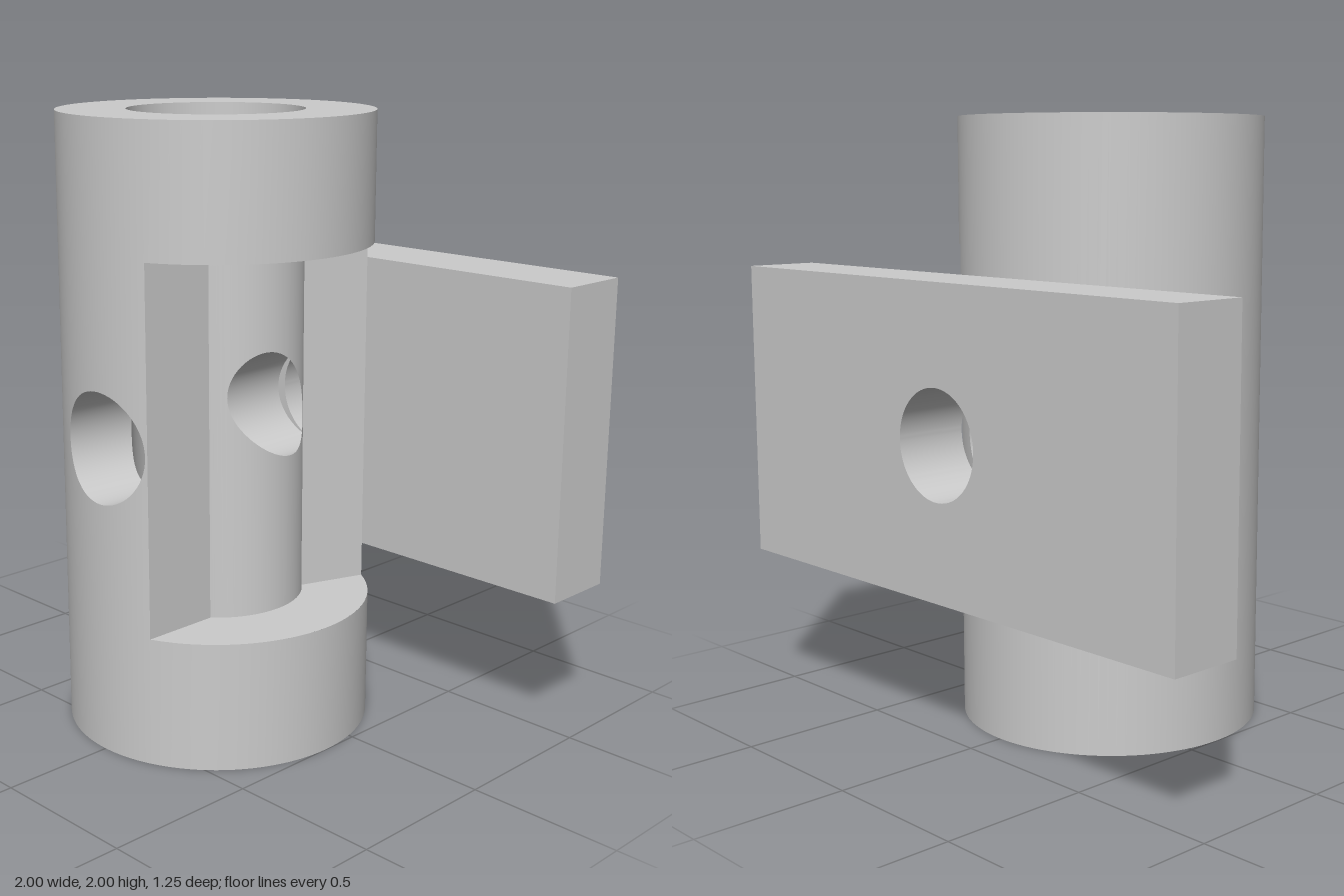
import * as THREE from 'three';
import { mergeGeometries, toCreasedNormals } from 'three/addons/utils/BufferGeometryUtils.js';

const R = 0.5, BORE = 0.28, HOLE = 0.178, HEIGHT = 2, MID = 1;
const WINDOW_LOW = 0.42, WINDOW_HIGH = 1.59;
const TAU = Math.PI * 2;

// Ruled surface between edge(u, 0) and edge(u, 1), with u running 0..1
function ruled(steps, edge, flip = false) {
  const pos = [], index = [];
  for (let i = 0; i <= steps; i++) pos.push(...edge(i / steps, 0), ...edge(i / steps, 1));
  for (let i = 0; i < steps; i++) {
    const a = 2 * i, b = a + 1, c = a + 2, d = a + 3;
    index.push(...(flip ? [a, b, c, b, d, c] : [a, c, b, b, c, d]));
  }
  const g = new THREE.BufferGeometry();
  g.setAttribute('position', new THREE.Float32BufferAttribute(pos, 3));
  g.setIndex(index);
  return g;
}

const lerp = THREE.MathUtils.lerp;
const onCircle = (r, a, y) => [r * Math.cos(a), y, r * Math.sin(a)];

// Angles of the window's two edges, on the bore (0) and on the outside (1)
const frontEdge = [Math.acos(0.185 / BORE), Math.acos(0.185 / R)];
const backEdge = [-Math.atan2(0.208, 0.187), -Math.atan2(0.425, 0.264)];
const radii = [BORE, R];

// One cylindrical skin, with both cross holes and the side window left open
function skin(k) {
  const r = radii[k], flip = k === 1, parts = [];
  const half = Math.asin(HOLE / r), front = Math.PI / 2, back = Math.PI * 1.5;
  const band = (from, to, y0, y1) => {
    const steps = Math.max(2, Math.ceil((to - from) / 0.06));
    parts.push(ruled(steps, (u, v) => onCircle(r, lerp(from, to, u), v ? y1 : y0), flip));
  };
  band(frontEdge[k], front - half, 0, HEIGHT);
  band(front + half, back - half, 0, HEIGHT);
  band(back + half, TAU + backEdge[k], 0, HEIGHT);
  band(backEdge[k], frontEdge[k], 0, WINDOW_LOW);
  band(backEdge[k], frontEdge[k], WINDOW_HIGH, HEIGHT);
  for (const mid of [front, back]) {
    for (const side of [-1, 1]) {
      parts.push(ruled(32, (u, v) => {
        const t = Math.PI * (u - 0.5);
        const rim = MID + side * HOLE * Math.cos(t);
        const y = side < 0 ? (v ? rim : 0) : (v ? HEIGHT : rim);
        return onCircle(r, mid + Math.asin(HOLE / r * Math.sin(t)), y);
      }, flip));
    }
  }
  return parts;
}

function tubeGeometry() {
  const parts = [...skin(0), ...skin(1)];
  // End faces
  for (const y of [0, HEIGHT]) {
    parts.push(ruled(96, (u, v) => onCircle(radii[v], u * TAU, y), y === 0));
  }
  // Window sill and lintel
  for (const y of [WINDOW_LOW, WINDOW_HIGH]) {
    parts.push(ruled(32, (u, v) =>
      onCircle(radii[v], lerp(backEdge[v], frontEdge[v], u), y), y === WINDOW_HIGH));
  }
  // Window jambs
  [frontEdge, backEdge].forEach((edge, i) => {
    parts.push(ruled(1, (u, v) =>
      onCircle(radii[v], edge[v], lerp(WINDOW_LOW, WINDOW_HIGH, u)), i === 1));
  });
  // Cross hole walls, front and back
  for (const side of [1, -1]) {
    parts.push(ruled(64, (u, v) => {
      const x = HOLE * Math.cos(u * TAU), y = MID + HOLE * Math.sin(u * TAU);
      return [x, y, side * Math.sqrt(radii[v] ** 2 - x * x)];
    }, side === 1));
  }
  return toCreasedNormals(mergeGeometries(parts), 0.5);
}

function plateGeometry() {
  const shape = new THREE.Shape();
  shape.moveTo(-1, 0.5).lineTo(1, 0.5).lineTo(1, 1.5).lineTo(-1, 1.5).closePath();
  shape.holes.push(new THREE.Path().absarc(0, MID, HOLE, 0, TAU, true));
  const g = new THREE.ExtrudeGeometry(shape, { depth: 0.25, bevelEnabled: false, curveSegments: 64 });
  return toCreasedNormals(g, 0.5);
}

export function createModel() {
  const group = new THREE.Group();
  const material = new THREE.MeshStandardMaterial({ color: 0xcccccc });

  // Hollow post with side window and cross hole
  const tube = new THREE.Mesh(tubeGeometry(), material);
  tube.name = 'tube';
  tube.position.z = 0.125;

  // Drilled mounting plate behind the post
  const plate = new THREE.Mesh(plateGeometry(), material);
  plate.name = 'backPlate';
  plate.position.z = -0.625;

  group.add(tube, plate);
  return group;
}
